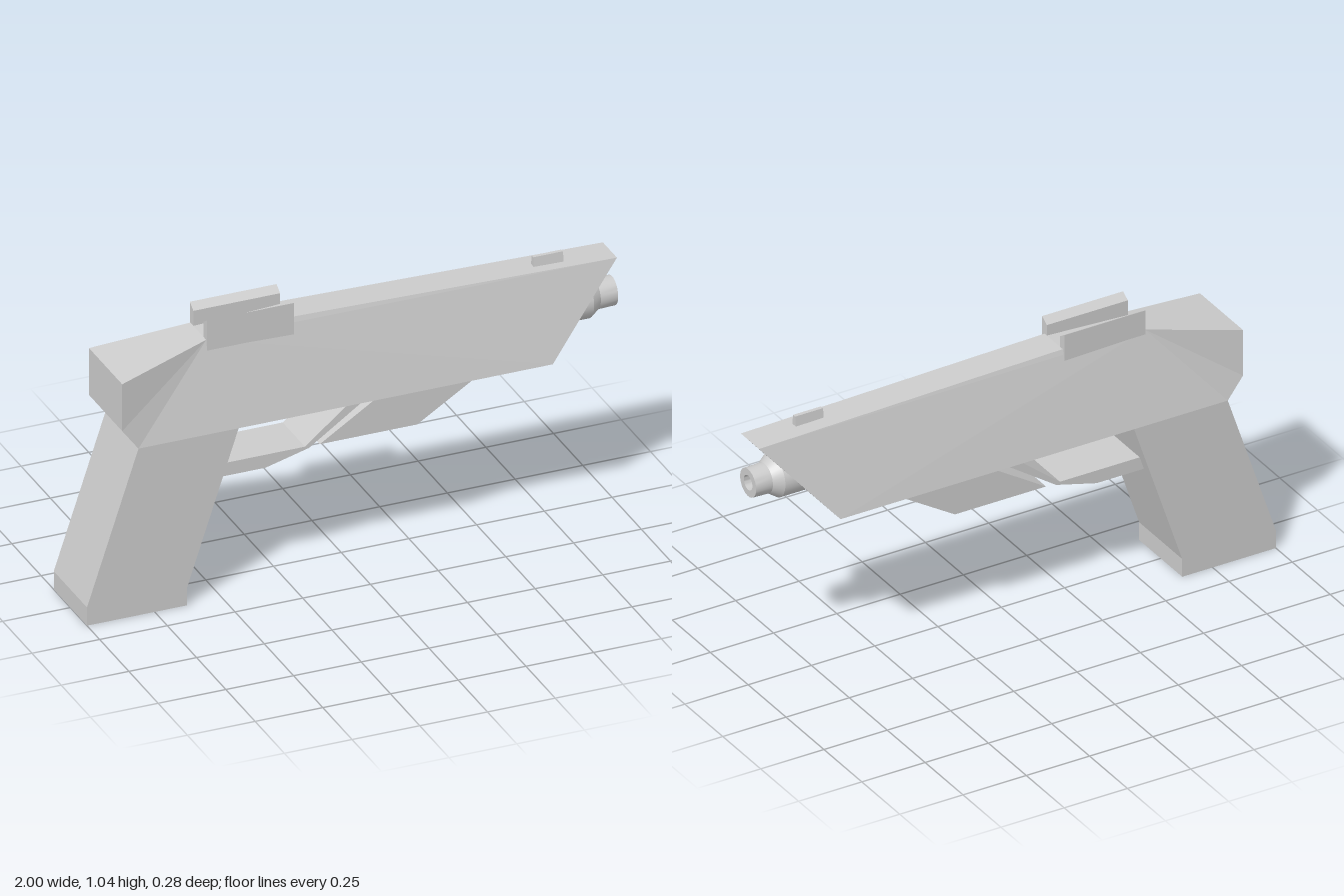
import * as THREE from 'three';
import { toCreasedNormals } from 'three/addons/utils/BufferGeometryUtils.js';

const material = new THREE.MeshStandardMaterial({ color: 0xcccccc, flatShading: true });
const smooth = new THREE.MeshStandardMaterial({ color: 0xcccccc });

// Solid from a counter-clockwise outline of [x, y, halfWidth, zShift] points.
// The sides are fans from the first point; a strip joins left and right.
function slab(name, outline) {
  const pos = [];
  const at = ([x, y, h, dz = 0], s) => [x, y, dz + s * h];
  const tri = (a, b, c) => pos.push(...a, ...b, ...c);
  const n = outline.length;
  for (let i = 1; i < n - 1; i++) {
    const [a, b, c] = [outline[0], outline[i], outline[i + 1]];
    tri(at(a, 1), at(b, 1), at(c, 1));
    tri(at(a, -1), at(c, -1), at(b, -1));
  }
  outline.forEach((p, i) => {
    const q = outline[(i + 1) % n];
    tri(at(p, 1), at(p, -1), at(q, -1));
    tri(at(p, 1), at(q, -1), at(q, 1));
  });
  const geometry = new THREE.BufferGeometry();
  geometry.setAttribute('position', new THREE.Float32BufferAttribute(pos, 3));
  geometry.computeVertexNormals();
  const mesh = new THREE.Mesh(geometry, material);
  mesh.name = name;
  return mesh;
}

// Same half width for every outline point
const even = (h, points) => points.map(([x, y]) => [x, y, h]);

// Profile in (z, y) extruded along x from x0 to x1
function rail(name, x0, x1, profile) {
  const shape = new THREE.Shape(profile.map(([z, y]) => new THREE.Vector2(-z, y)));
  const geometry = new THREE.ExtrudeGeometry(shape, { depth: x1 - x0, bevelEnabled: false });
  geometry.rotateY(Math.PI / 2).translate(x0, 0, 0);
  const mesh = new THREE.Mesh(geometry, material);
  mesh.name = name;
  return mesh;
}

export function createModel() {
  const model = new THREE.Group();

  // Tapered upper body, flaring to full width at the rear
  model.add(slab('body', [
    [-0.53, 0.965, 0.068, 0.005], [-0.87, 0.9, 0.142], [-0.87, 0.72, 0.142],
    [-0.81, 0.64, 0.142], [-0.44, 0.64, 0.142], [0.72, 0.64, 0.142],
    [0.99, 0.955, 0.06, 0.005], [-0.21, 0.982, 0.06, 0.005],
  ]));

  // Raked grip with a short upright foot
  model.add(slab('grip', even(0.142, [
    [-0.63, 0.07], [-0.44, 0.64], [-0.81, 0.64], [-1, 0.07], [-1, 0], [-0.63, 0],
  ])));

  // Trigger guard with chamfered lower front corners
  model.add(slab('triggerGuard', [
    [-0.16, 0.482, 0.095], [0.07, 0.64, 0.095], [0.01, 0.64, 0.095], [-0.175, 0.49, 0.095],
    [-0.5, 0.49, 0.095], [-0.515, 0.44, 0.095], [-0.32, 0.44, 0.095], [-0.26, 0.44, 0.065],
  ]));

  // Block under the body
  model.add(slab('underBlock', even(0.095, [
    [-0.12, 0.488], [0.24, 0.488], [0.485, 0.64], [0.12, 0.64],
  ])));

  // Curved trigger
  model.add(slab('trigger', even(0.03, [
    [-0.355, 0.605], [-0.385, 0.645], [-0.42, 0.645], [-0.38, 0.592], [-0.335, 0.575],
  ])));

  // Rear sight plates, one on each side
  for (const s of [1, -1]) {
    model.add(rail('rearSightPlate', -0.53, -0.21,
      [[0.043, 0.955], [0.074, 0.915], [0.074, 1.043], [0.043, 1.023]]
        .map(([z, y]) => [0.007 + s * z, y])));
  }

  // Front sight blade
  model.add(rail('frontSight', 0.7, 0.81,
    [[0.0, 0.945], [0.028, 0.945], [0.021, 0.996], [0.007, 0.996]]));

  // Stepped barrel with a hollow muzzle
  const profile = [
    [0.079, 0.74], [0.079, 0.9], [0.055, 0.935], [0.053, 1], [0.028, 1], [0.028, 0.92], [0, 0.92],
  ].map(([r, x]) => new THREE.Vector2(r, x));
  const lathe = new THREE.LatheGeometry(profile, 32).rotateZ(-Math.PI / 2);
  const barrel = new THREE.Mesh(toCreasedNormals(lathe, 0.4), smooth);
  barrel.name = 'barrel';
  barrel.position.y = 0.797;
  model.add(barrel);

  return model;
}
